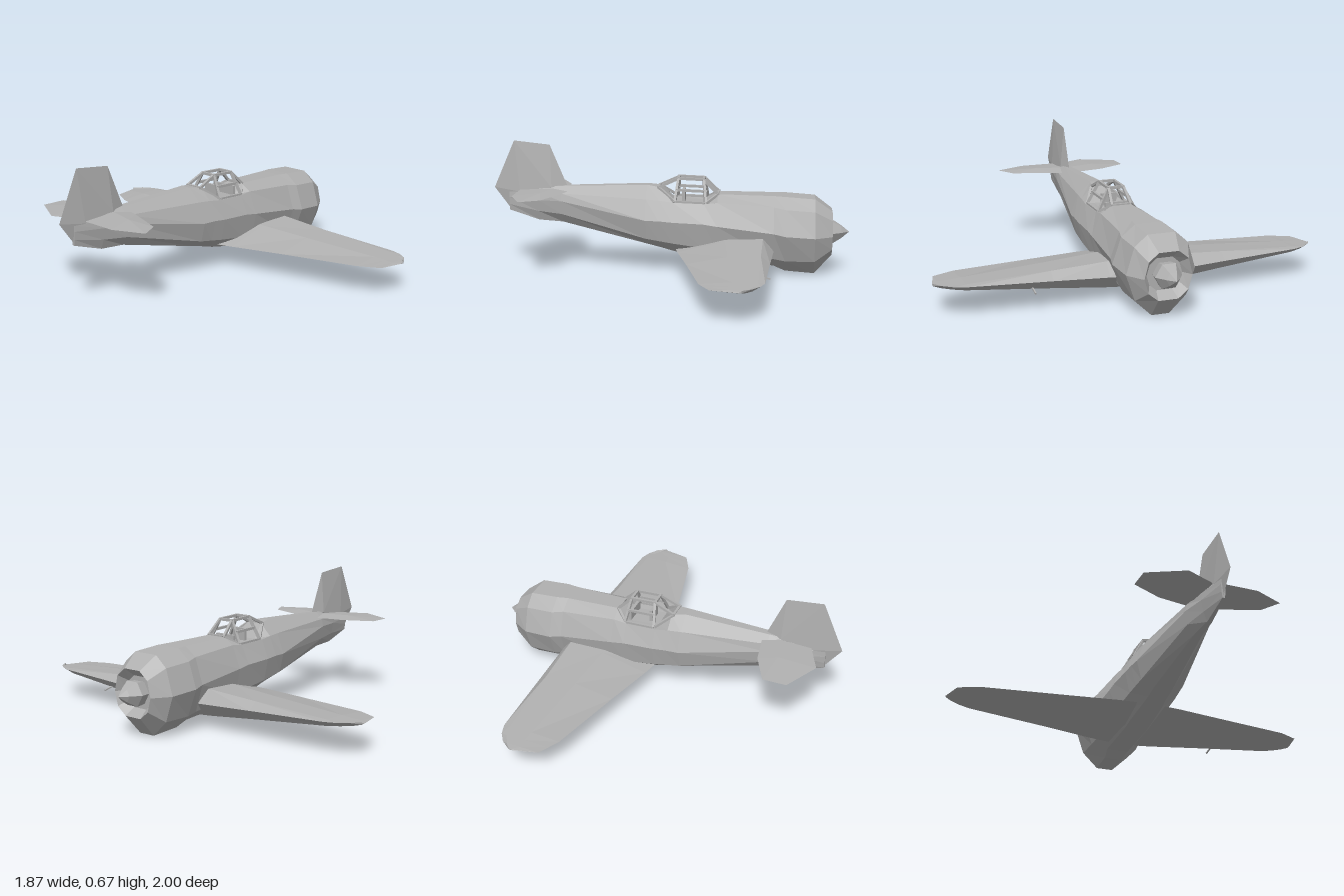
import * as THREE from 'three';
import { ConvexGeometry } from 'three/addons/geometries/ConvexGeometry.js';

const grey = new THREE.MeshStandardMaterial({ color: 0xb0b0b0 });
grey.name = 'bare grey';
grey.flatShading = true;

const V = (x, y, z) => new THREE.Vector3(x, y, z);

function add(parent, name, geometry) {
  const mesh = new THREE.Mesh(geometry, grey);
  mesh.name = name;
  parent.add(mesh);
  return mesh;
}

// Closed skin through rings of points, capped at both ends and wound outward.
function loft(rings) {
  const tris = [];
  const n = rings[0].length;
  for (let i = 0; i < rings.length - 1; i++) {
    for (let j = 0; j < n; j++) {
      const k = (j + 1) % n;
      const [a, b, c, d] = [rings[i][j], rings[i][k], rings[i + 1][k], rings[i + 1][j]];
      tris.push([a, b, c], [a, c, d]);
    }
  }
  const cap = (ring, flip) => {
    const mid = ring.reduce((s, p) => s.add(p), V(0, 0, 0)).divideScalar(n);
    ring.forEach((p, j) => {
      const q = ring[(j + 1) % n];
      tris.push(flip ? [mid, q, p] : [mid, p, q]);
    });
  };
  cap(rings[0], true);
  cap(rings[rings.length - 1], false);
  let volume = 0;
  for (const [a, b, c] of tris) volume += a.dot(b.clone().cross(c));
  const points = tris.flatMap(([a, b, c]) => (volume < 0 ? [a, c, b] : [a, b, c]));
  const geometry = new THREE.BufferGeometry().setFromPoints(points);
  geometry.computeVertexNormals();
  return geometry;
}

// Thin square bar between two points.
function bar(parent, name, a, b, t = 0.013) {
  const mesh = add(parent, name, new THREE.BoxGeometry(t, t, a.distanceTo(b) + t * 0.6));
  mesh.position.copy(a).lerp(b, 0.5);
  mesh.lookAt(b);
}

// Fuselage stations: x, then height and half width from the spine to the belly.
const stations = [
  [-0.86, 0.42, 0.006, 0.40, 0.010, 0.37, 0.012, 0.33, 0.010, 0.30, 0.006],
  [-0.70, 0.43, 0.012, 0.40, 0.036, 0.36, 0.040, 0.30, 0.030, 0.25, 0.012],
  [-0.57, 0.435, 0.018, 0.40, 0.055, 0.36, 0.065, 0.29, 0.055, 0.243, 0.02],
  [-0.12, 0.45, 0.03, 0.385, 0.10, 0.28, 0.14, 0.18, 0.115, 0.14, 0.05],
  [-0.05, 0.44, 0.045, 0.38, 0.105, 0.28, 0.145, 0.17, 0.12, 0.123, 0.05],
  [0.02, 0.37, 0.06, 0.372, 0.11, 0.275, 0.15, 0.16, 0.125, 0.105, 0.055],
  [0.18, 0.36, 0.06, 0.367, 0.11, 0.27, 0.155, 0.14, 0.13, 0.077, 0.06],
  [0.25, 0.41, 0.05, 0.375, 0.11, 0.26, 0.157, 0.13, 0.13, 0.063, 0.06],
  [0.54, 0.407, 0.06, 0.36, 0.125, 0.23, 0.17, 0.09, 0.125, 0.04, 0.06],
  [0.60, 0.405, 0.07, 0.35, 0.14, 0.22, 0.185, 0.08, 0.13, 0.012, 0.05],
  [0.75, 0.395, 0.07, 0.34, 0.135, 0.21, 0.175, 0.08, 0.13, 0, 0.045],
  [0.84, 0.33, 0.05, 0.29, 0.10, 0.21, 0.12, 0.14, 0.10, 0.10, 0.05],
  [0.79, 0.29, 0.04, 0.26, 0.075, 0.21, 0.09, 0.165, 0.075, 0.135, 0.04],
];

function fuselageRing([x, ...s]) {
  const side = [0, 2, 4, 6, 8].map((i) => V(x, s[i], s[i + 1]));
  return [...side, ...side.map((p) => V(x, p.y, -p.z)).reverse()];
}

// Wing stations: z, trailing x, leading x, top, bottom, edge height.
const wingStations = [
  [0.06, 0.03, 0.545, 0.208, 0.056, 0.12],
  [0.17, 0.05, 0.54, 0.20, 0.064, 0.125],
  [0.45, 0.115, 0.525, 0.183, 0.092, 0.135],
  [0.86, 0.205, 0.505, 0.162, 0.13, 0.148],
  [0.92, 0.235, 0.485, 0.158, 0.137, 0.149],
  [0.97, 0.26, 0.45, 0.155, 0.142, 0.15],
  [1.0, 0.38, 0.405, 0.152, 0.148, 0.15],
];

function wingRing([z, tail, nose, top, bottom, edge], side) {
  const chord = nose - tail;
  return [
    [0, edge], [0.5, edge + (top - edge) * 0.85], [0.89, top],
    [1, edge + 0.01], [0.86, bottom], [0.4, bottom + (edge - bottom) * 0.25],
  ].map(([f, y]) => V(tail + chord * f, y, z * side));
}

export function createModel() {
  const plane = new THREE.Group();
  plane.name = 'propellerPlane';

  add(plane, 'fuselage', loft(stations.map(fuselageRing)));

  // Spinner inside the open cowl
  const spinnerProfile = [[0, 0], [0.06, 0], [0.068, 0.05], [0.035, 0.1], [0, 0.14]];
  const spinner = add(plane, 'spinner', new THREE.LatheGeometry(
    spinnerProfile.map(([r, h]) => new THREE.Vector2(r, h)), 6));
  spinner.rotation.z = -Math.PI / 2;
  spinner.position.set(0.79, 0.215, 0);

  // Wings
  for (const side of [1, -1]) {
    add(plane, side > 0 ? 'nearWing' : 'farWing',
      loft(wingStations.map((s) => wingRing(s, side))));
  }
  bar(plane, 'pitotTube', V(0.44, 0.115, 0.54), V(0.525, 0.095, 0.54), 0.007);

  // Fin and rudder
  add(plane, 'fin', new ConvexGeometry([
    V(-0.94, 0.42, 0), V(-0.83, 0.67, 0), V(-0.64, 0.65, 0), V(-0.55, 0.435, 0),
    V(-0.85, 0.30, 0),
    ...[1, -1].flatMap((s) => [V(-0.63, 0.425, 0.024 * s), V(-0.80, 0.40, 0.02 * s)]),
  ]));

  // Tailplanes, each slightly different in outline
  const tailplanes = {
    nearTailplane: [[-0.8, 0], [-0.8, 0.21], [-0.73, 0.365], [-0.63, 0.31], [-0.55, 0.09], [-0.53, 0]],
    farTailplane: [[-0.78, 0], [-0.855, -0.17], [-0.76, -0.355], [-0.64, -0.355], [-0.565, -0.2], [-0.53, 0]],
  };
  for (const [name, outline] of Object.entries(tailplanes)) {
    const side = Math.sign(outline[2][1]);
    add(plane, name, new ConvexGeometry([
      ...outline.map(([x, z]) => V(x, 0.41, z)),
      ...[0.395, 0.422].flatMap((y) => [V(-0.62, y, 0), V(-0.66, y, 0.17 * side)]),
    ]));
  }

  // Canopy frame
  const canopy = new THREE.Group();
  canopy.name = 'canopyFrame';
  plane.add(canopy);
  const sides = [1, -1].map((s) => ({
    rearSill: V(0.03, 0.375, 0.10 * s), rearTop: V(0.045, 0.488, 0.04 * s),
    frontSill: V(0.19, 0.37, 0.10 * s), frontTop: V(0.175, 0.483, 0.04 * s),
    nose: V(0.25, 0.41, 0.05 * s), tail: V(-0.06, 0.44, 0.045 * s),
    rearMid: V(0.038, 0.432, 0.07 * s), frontMid: V(0.183, 0.427, 0.07 * s),
  }));
  const links = [
    ['rearSill', 'rearTop'], ['frontSill', 'frontTop'], ['rearTop', 'frontTop'],
    ['rearSill', 'frontSill'], ['frontTop', 'nose'], ['frontSill', 'nose'],
    ['rearTop', 'tail'], ['rearSill', 'tail'], ['rearMid', 'frontMid'],
  ];
  for (const p of sides) for (const [a, b] of links) bar(canopy, 'sideStrut', p[a], p[b]);
  for (const key of ['rearTop', 'frontTop', 'nose', 'tail']) {
    bar(canopy, 'crossStrut', sides[0][key], sides[1][key]);
  }

  // Seat back and instrument panel
  for (const [name, x, h, w] of [['seatBack', 0.07, 0.07, 0.08], ['instrumentPanel', 0.18, 0.05, 0.12]]) {
    add(plane, name, new THREE.BoxGeometry(0.015, h, w)).position.set(x, 0.36 + h / 2, 0);
  }

  return plane;
}
